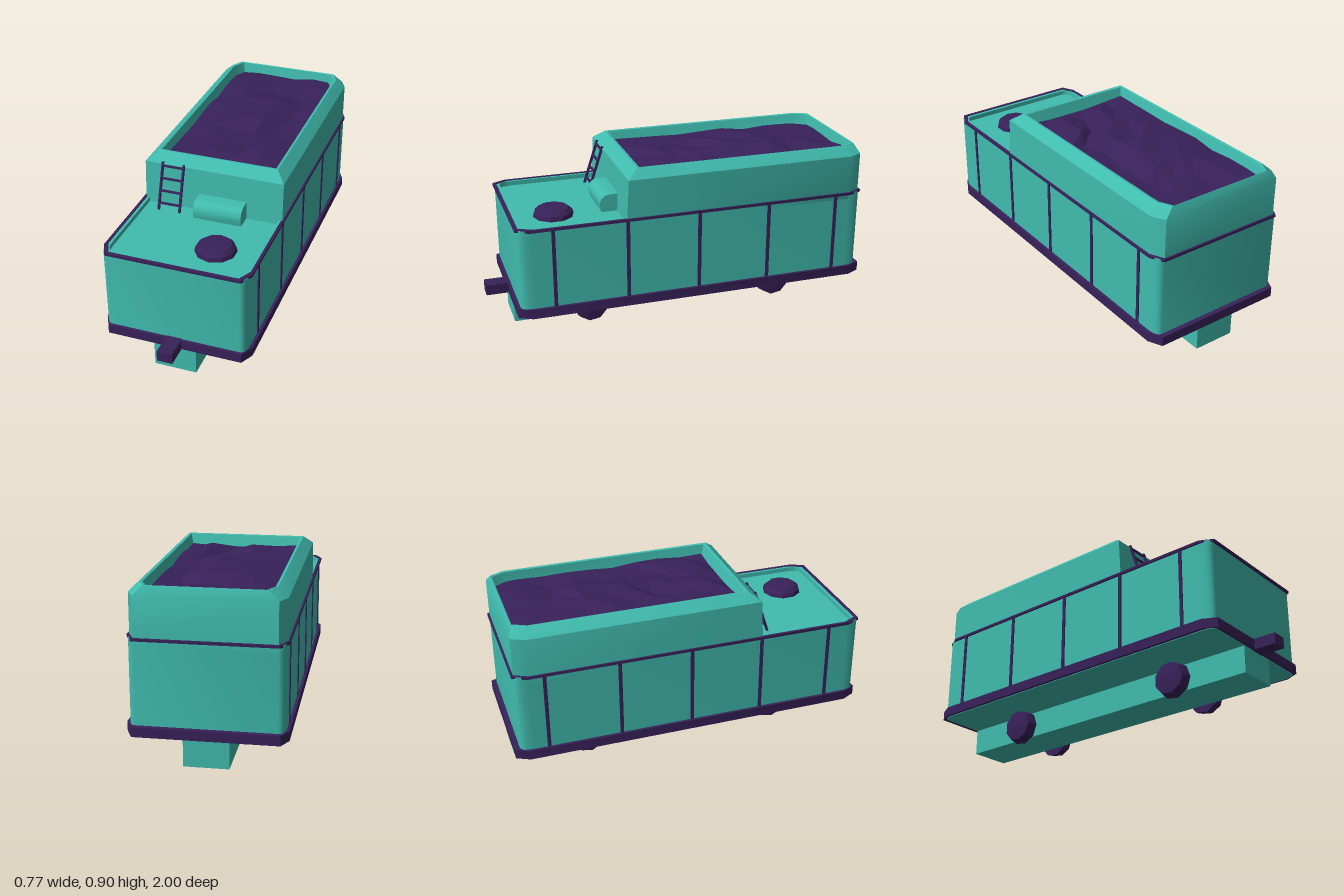
import * as THREE from 'three';
import { toCreasedNormals } from 'three/addons/utils/BufferGeometryUtils.js';

const teal = new THREE.MeshStandardMaterial({ color: 0x40bbae });
teal.name = 'teal paint';
const purple = new THREE.MeshStandardMaterial({ color: 0x38215a });
purple.name = 'dark purple';

function add(parent, name, geo, mat, x = 0, y = 0, z = 0) {
  const mesh = new THREE.Mesh(geo, mat);
  mesh.name = name;
  mesh.position.set(x, y, z);
  parent.add(mesh);
  return mesh;
}

// Plan outline as [x, z] points, running front left, back left, back right, front right.
function outline(hw, zf, zb, frontCut = true, steps = 1) {
  const cx = 0.035, cz = 0.07, half = [];
  const corner = (a, c, b) => {
    for (let i = 0; i <= steps; i++) {
      const t = i / steps, s = 1 - t;
      const w = steps > 1 ? 2 * s * t : 0;
      const wa = steps > 1 ? s * s : s, wb = steps > 1 ? t * t : t;
      half.push([wa * a[0] + w * c[0] + wb * b[0], wa * a[1] + w * c[1] + wb * b[1]]);
    }
  };
  if (frontCut) corner([hw - cx, zf], [hw, zf], [hw, zf - cz]);
  else half.push([hw, zf]);
  corner([hw, zb + cz], [hw, zb], [hw - cx, zb]);
  return half.concat(half.slice().reverse().map(([x, z]) => [-x, z]));
}

// Upright slab from a plan outline, optionally hollow.
function slab(points, y0, y1, hole) {
  const toVec = ([x, z]) => new THREE.Vector2(x, -z);
  const shape = new THREE.Shape(points.map(toVec));
  if (hole) shape.holes.push(new THREE.Path(hole.map(toVec)));
  const geo = new THREE.ExtrudeGeometry(shape, { depth: y1 - y0, bevelEnabled: false });
  geo.rotateX(-Math.PI / 2).translate(0, y0, 0);
  return toCreasedNormals(geo, 0.9);
}

// Skin through stacked outlines with equal point counts.
function loft(rings) {
  const n = rings[0].pts.length, pos = [], idx = [];
  for (const { pts, y } of rings) for (const [x, z] of pts) pos.push(x, y, z);
  for (let r = 0; r < rings.length - 1; r++) {
    for (let i = 0; i < n; i++) {
      const a = r * n + i, b = r * n + (i + 1) % n;
      idx.push(a, b, b + n, a, b + n, a + n);
    }
  }
  const geo = new THREE.BufferGeometry();
  geo.setAttribute('position', new THREE.Float32BufferAttribute(pos, 3));
  geo.setIndex(idx);
  return toCreasedNormals(geo, 0.6);
}

// Lumpy load surface
function loadGeometry() {
  const geo = new THREE.PlaneGeometry(0.59, 1.16, 5, 9).rotateX(-Math.PI / 2);
  const p = geo.attributes.position;
  let seed = 11;
  const rnd = () => (seed = (seed * 16807) % 2147483647) / 2147483647;
  for (let i = 0; i < p.count; i++) {
    const edge = Math.abs(p.getX(i)) > 0.28 || Math.abs(p.getZ(i)) > 0.57;
    p.setY(i, (rnd() - 0.5) * (edge ? 0.02 : 0.05) + (edge ? 0 : 0.012));
    if (!edge) {
      p.setX(i, p.getX(i) + (rnd() - 0.5) * 0.05);
      p.setZ(i, p.getZ(i) + (rnd() - 0.5) * 0.05);
    }
  }
  return toCreasedNormals(geo, 0.05);
}

export function createModel() {
  const model = new THREE.Group();
  model.name = 'tender';

  // Chassis
  add(model, 'chassis', new THREE.BoxGeometry(0.22, 0.145, 1.845), teal, 0, 0.11, -0.053);
  add(model, 'basePlate', slab(outline(0.385, 0.885, -1), 0.18, 0.23), purple);
  add(model, 'coupler', new THREE.BoxGeometry(0.08, 0.056, 0.15), purple, 0, 0.205, 0.925);

  // Wheels: tapered tread with a shallow domed outer face
  const wheelGeo = toCreasedNormals(new THREE.LatheGeometry([
    [0, 0], [0.095, 0], [0.093, 0.02], [0.085, 0.055], [0.045, 0.062], [0, 0.065],
  ].map(([r, h]) => new THREE.Vector2(r, h)), 9), 0.6);
  for (const side of [1, -1]) {
    for (const z of [0.465, -0.58]) {
      const wheel = add(model, 'wheel', wheelGeo, purple, side * 0.123, 0.098, z);
      wheel.rotation.z = -side * Math.PI / 2;
    }
  }

  // Lower body, deck and deck wall
  const plan = outline(0.37, 0.87, -0.975, true, 4);
  add(model, 'body', slab(plan, 0.177, 0.63), teal);
  add(model, 'deckWall', slab(plan, 0.63, 0.654, outline(0.35, 0.845, -0.95, true, 4)), teal);
  add(model, 'trimBand',
    slab(outline(0.379, 0.88, -0.985), 0.643, 0.657, outline(0.364, 0.862, -0.968)), purple);

  // Side posts
  for (const side of [1, -1]) {
    for (let i = 0; i < 5; i++) {
      add(model, 'sidePost', new THREE.BoxGeometry(0.012, 0.42, 0.018), purple,
        side * 0.369, 0.435, 0.695 - i * 0.381);
    }
  }

  // Upper tank with bevelled rim and inner wall
  const ring = (y, hw, zf, zb) => ({ y, pts: outline(hw, zf, zb, false) });
  add(model, 'upperTank', loft([
    ring(0.62, 0.37, 0.32, -0.975),
    ring(0.857, 0.37, 0.307, -0.975),
    ring(0.903, 0.32, 0.25, -0.955),
    ring(0.9, 0.307, 0.235, -0.95),
    ring(0.81, 0.288, 0.21, -0.935),
  ]), teal);
  add(model, 'load', loadGeometry(), purple, 0, 0.85, -0.363);

  // Rounded locker on the deck
  const profile = new THREE.Shape();
  profile.moveTo(0.3, 0.625);
  profile.lineTo(0.4, 0.625);
  profile.lineTo(0.41, 0.665);
  profile.quadraticCurveTo(0.408, 0.718, 0.36, 0.722);
  profile.lineTo(0.3, 0.724);
  const locker = new THREE.ExtrudeGeometry(profile,
    { depth: 0.255, bevelEnabled: false, curveSegments: 6 });
  locker.rotateY(-Math.PI / 2).translate(0.18, 0, 0);
  add(model, 'locker', toCreasedNormals(locker, 0.6), teal);

  // Filler hatch
  add(model, 'hatch', toCreasedNormals(new THREE.LatheGeometry([
    [0, 0], [0.105, 0], [0.1, 0.022], [0.08, 0.041], [0, 0.046],
  ].map(([r, h]) => new THREE.Vector2(r, h)).slice(1), 10), 0.5), purple, 0.137, 0.63, 0.645);

  // Leaning ladder
  const ladder = new THREE.Group();
  ladder.name = 'ladder';
  ladder.position.set(-0.217, 0.63, 0.384);
  ladder.rotation.x = -0.32;
  for (const side of [1, -1]) {
    add(ladder, 'ladderRail', new THREE.BoxGeometry(0.011, 0.25, 0.012), purple, side * 0.057, 0.125, 0);
  }
  for (let i = 0; i < 4; i++) {
    add(ladder, 'ladderRung', new THREE.BoxGeometry(0.11, 0.011, 0.01), purple, 0, 0.036 + i * 0.065, 0);
  }
  model.add(ladder);

  return model;
}
